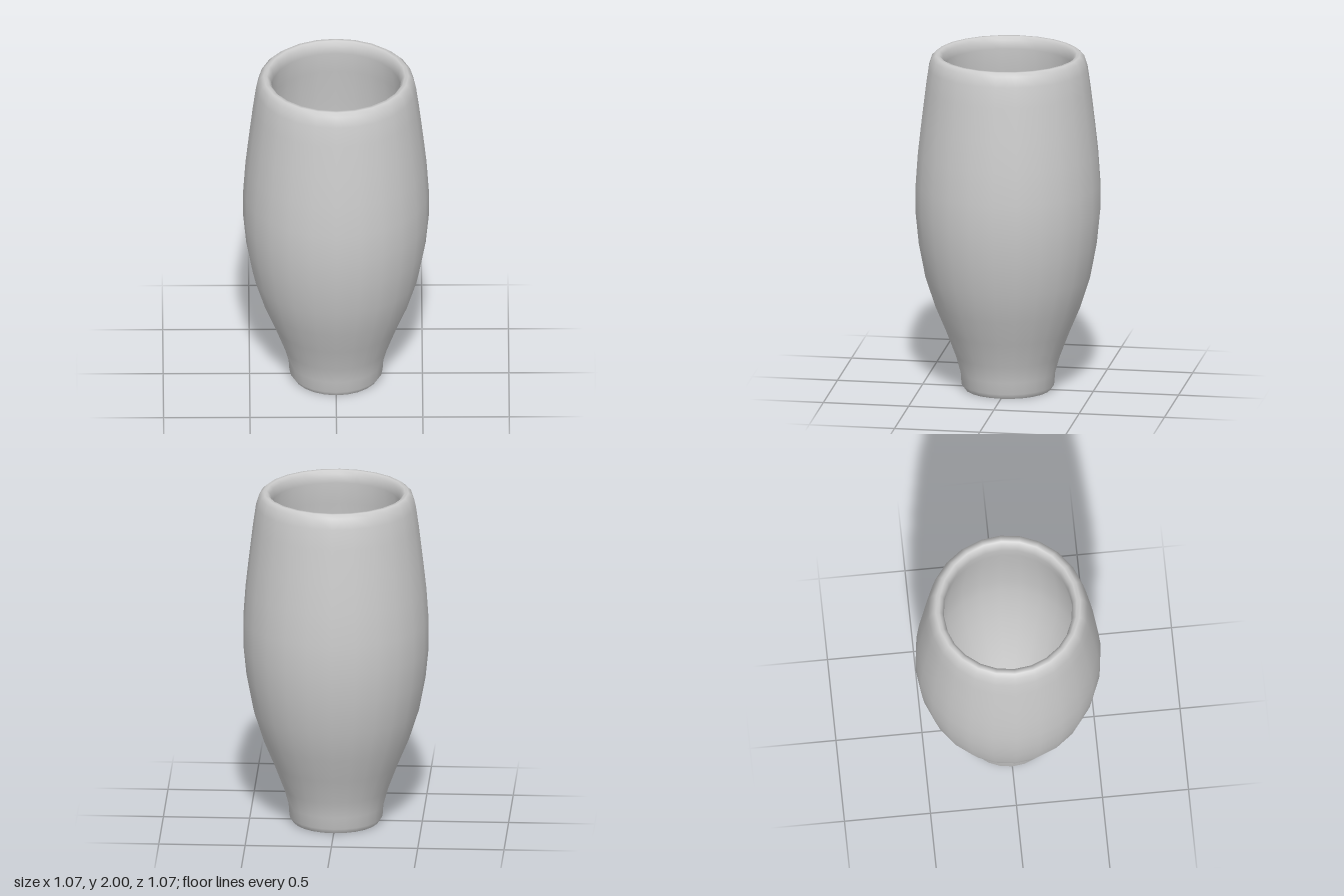
import * as THREE from 'three';

const SIDES = 24;

// Outer wall from foot to lip, over the rim and down to the inner floor: [radius, height]
const PROFILE = [
  [0.25, 0], [0.27, 0.03], [0.275, 0.1], [0.303, 0.2], [0.36, 0.35], [0.423, 0.5],
  [0.481, 0.68], [0.519, 0.88], [0.537, 1.06], [0.537, 1.23], [0.524, 1.42],
  [0.504, 1.6], [0.48, 1.8], [0.463, 1.92], [0.444, 1.98], [0.42, 2],
  [0.4, 2], [0.381, 1.98], [0.372, 1.93], [0.39, 1.8], [0.418, 1.6],
  [0.439, 1.4], [0.45, 1.2], [0.447, 1.05], [0.428, 0.88], [0.392, 0.7],
  [0.334, 0.5], [0.272, 0.35], [0.215, 0.22], [0.17, 0.14], [0, 0.12],
];

export function createModel() {
  const group = new THREE.Group();
  group.name = 'vase';
  const material = new THREE.MeshStandardMaterial({ color: 0xcccccc });

  // Hollow turned body
  const points = PROFILE.map(([r, y]) => new THREE.Vector2(r, y));
  const body = new THREE.Mesh(new THREE.LatheGeometry(points, SIDES), material);
  body.name = 'body';
  group.add(body);

  // Flat underside, kept separate for a sharp edge
  const base = new THREE.Mesh(new THREE.CircleGeometry(PROFILE[0][0], SIDES).rotateX(Math.PI / 2), material);
  base.name = 'base';
  group.add(base);

  return group;
}
